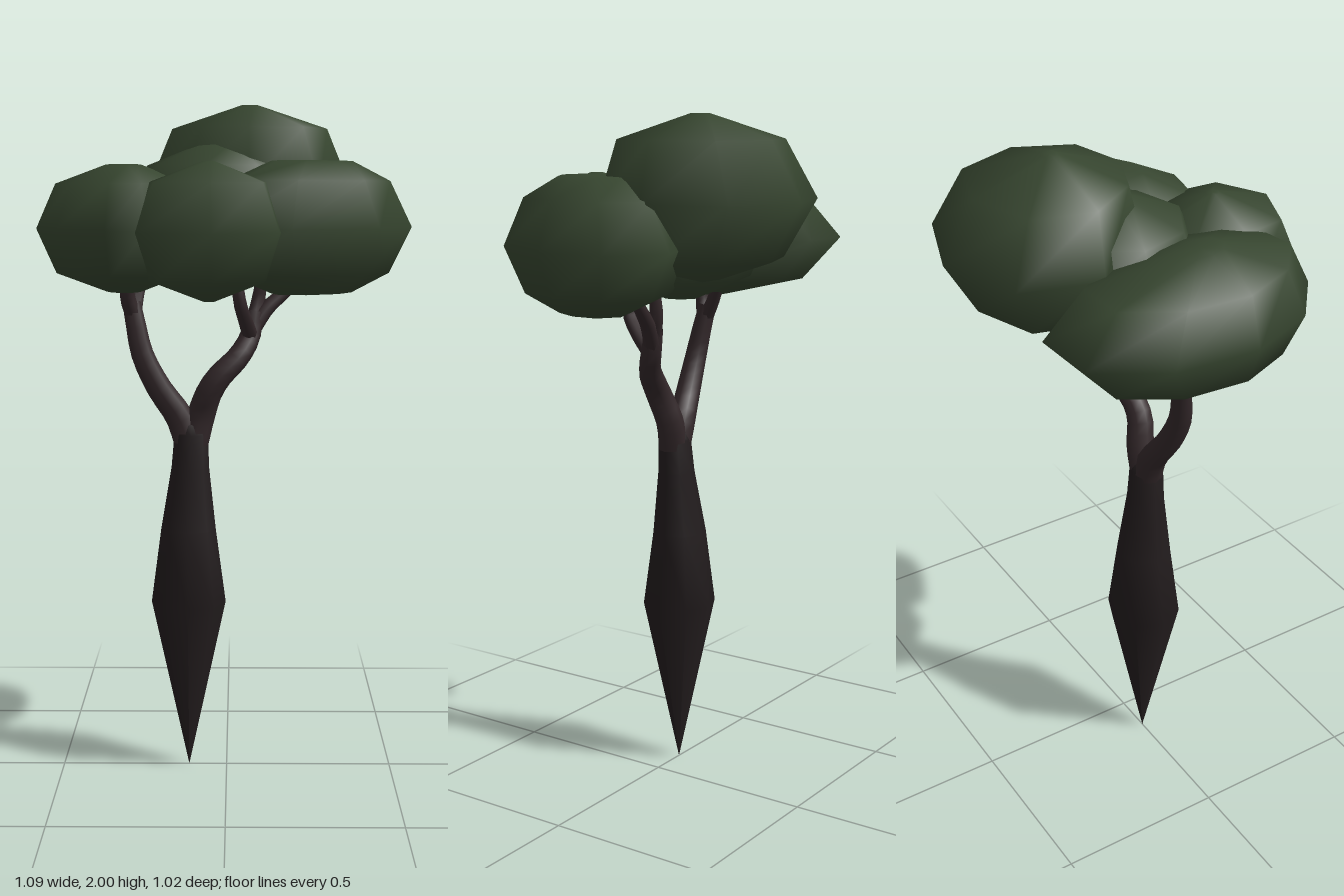
import * as THREE from 'three';
import { mergeVertices } from 'three/addons/utils/BufferGeometryUtils.js';

const bark = new THREE.MeshStandardMaterial({ color: 0x33282a, roughness: 1, side: THREE.DoubleSide });
const trunkBark = new THREE.MeshStandardMaterial({ color: 0x221c1d, roughness: 1, side: THREE.DoubleSide });
const leaves = new THREE.MeshStandardMaterial({ color: 0x36452f, roughness: 1 });

function addMesh(group, name, geometry, material) {
  const mesh = new THREE.Mesh(geometry, material);
  mesh.name = name;
  group.add(mesh);
  return mesh;
}

// Low-poly leaf clump: an [x, z] outline scaled over several levels.
// cap is the size of the flat top and bottom, lean shifts every level but the widest in z
function clumpGeometry({ outline, bottom, top, cap = 0.08, lean = 0 }) {
  const n = outline.length;
  const cx = outline.reduce((s, p) => s + p[0], 0) / n;
  const cz = outline.reduce((s, p) => s + p[1], 0) / n;
  const mid = (top + bottom) / 2, half = (top - bottom) / 2;
  const levels = [[1, 0], [1, cap], [0.7, 0.77], [0, 1], [-0.7, 0.77], [-1, cap], [-1, 0]];
  const last = levels.length - 1;
  const positions = [], index = [];
  levels.forEach(([h, s], r) => {
    outline.forEach(([x, z], i) => {
      positions.push(cx + (x - cx) * s, mid + h * half, cz + (z - cz) * s + (h ? lean : 0));
      const a = r * n + i, b = r * n + (i + 1) % n;
      if (r > 0 && r < last) index.push(a, b, b + n);
      if (r < last - 1) index.push(a, b + n, a + n);
    });
  });
  const geometry = new THREE.BufferGeometry();
  geometry.setAttribute('position', new THREE.Float32BufferAttribute(positions, 3));
  geometry.setIndex(index);
  const merged = mergeVertices(geometry);
  merged.computeVertexNormals();
  return merged;
}

// Branch: a tube whose rings shrink from r0 to r1
function branchGeometry(points, r0, r1) {
  const curve = new THREE.CatmullRomCurve3(points.map(p => new THREE.Vector3(...p)));
  const steps = points.length * 2, sides = 8;
  const geometry = new THREE.TubeGeometry(curve, steps, r0, sides);
  const pos = geometry.attributes.position, v = new THREE.Vector3();
  for (let i = 0; i < pos.count; i++) {
    const t = Math.floor(i / (sides + 1)) / steps;
    v.fromBufferAttribute(pos, i);
    v.lerp(curve.getPointAt(t), t * (1 - r1 / r0));
    pos.setXYZ(i, v.x, v.y, v.z);
  }
  return geometry;
}

export function createModel() {
  const tree = new THREE.Group();
  tree.name = 'tree';

  // Swollen trunk tapering to a point at the ground
  const profile = [[0, 0], [0.112, 0.515], [0.082, 0.74], [0.056, 0.93], [0.05, 1.03], [0.035, 1.06], [0, 1.07]];
  const trunk = addMesh(tree, 'trunk',
    new THREE.LatheGeometry(profile.map(p => new THREE.Vector2(...p)), 8), trunkBark);
  trunk.position.x = -0.115;
  // Slight lean of the upper trunk
  const pos = trunk.geometry.attributes.position;
  for (let i = 0; i < pos.count; i++) {
    const k = Math.max(0, pos.getY(i) - 0.74) / 0.3;
    pos.setX(i, pos.getX(i) + 0.01 * k);
    pos.setZ(i, pos.getZ(i) + 0.013 * k);
  }

  // Two main limbs and their forks: path, start radius, end radius
  const branches = {
    rightHandLimb: [[[-0.11, 1.0, 0.012], [-0.14, 1.08, 0.01], [-0.2, 1.17, 0.025], [-0.248, 1.27, 0.03], [-0.268, 1.36, 0.02], [-0.28, 1.42, 0.01]], 0.045, 0.027],
    leftHandLimb: [[[-0.1, 1.0, 0.012], [-0.075, 1.09, 0.01], [-0.05, 1.16, 0.025], [-0.02, 1.205, 0.025], [0.035, 1.26, 0.005], [0.07, 1.32, -0.025], [0.08, 1.39, -0.04]], 0.045, 0.029],
    rightHandForkOuter: [[[-0.272, 1.38, 0.015], [-0.29, 1.44, 0.035], [-0.285, 1.51, 0.05]], 0.026, 0.018],
    rightHandForkInner: [[[-0.275, 1.38, 0.015], [-0.265, 1.44, -0.02], [-0.25, 1.5, -0.05]], 0.024, 0.017],
    leftHandForkInner: [[[0.07, 1.32, -0.02], [0.055, 1.37, 0.035], [0.04, 1.42, 0.075], [0.03, 1.49, 0.08]], 0.024, 0.017],
    leftHandForkOuter: [[[0.07, 1.33, -0.03], [0.12, 1.4, -0.05], [0.165, 1.44, -0.065], [0.21, 1.48, -0.075]], 0.026, 0.017],
    leftHandForkMiddle: [[[0.08, 1.36, -0.035], [0.095, 1.43, -0.06], [0.11, 1.53, -0.06]], 0.024, 0.015],
  };
  for (const [name, [path, r0, r1]] of Object.entries(branches)) {
    addMesh(tree, name, branchGeometry(path, r0, r1), bark);
  }

  // Foliage clumps, outlined as seen from above
  const clumps = {
    topFoliage: {
      outline: [[0.37, -0.2], [0.27, 0.01], [0.065, 0.07], [-0.12, -0.01], [-0.235, -0.2], [-0.17, -0.43], [0.065, -0.515], [0.3, -0.43]],
      bottom: 1.53, top: 2.0, lean: 0.025,
    },
    rightHandFoliage: {
      outline: [[-0.05, 0.05], [-0.1, 0.27], [-0.21, 0.37], [-0.325, 0.39], [-0.47, 0.27], [-0.55, 0.065], [-0.53, -0.18], [-0.41, -0.375], [-0.22, -0.385], [-0.1, -0.2]],
      bottom: 1.455, top: 1.82, cap: 0.2, lean: 0.02,
    },
    leftHandFoliage: {
      outline: [[0.54, 0.01], [0.43, 0.22], [0.18, 0.37], [-0.03, 0.33], [-0.08, 0.13], [0.1, -0.2], [0.375, -0.3], [0.535, -0.195]],
      bottom: 1.452, top: 1.83, cap: 0.38,
    },
    frontFoliage: {
      outline: [[0.16, 0.25], [0.145, 0.41], [-0.035, 0.51], [-0.235, 0.43], [-0.265, 0.26], [-0.2, 0.09], [-0.05, 0.02], [0.1, 0.08]],
      bottom: 1.44, top: 1.825,
    },
    middleFoliage: {
      outline: [[0.24, -0.02], [0.12, 0.14], [-0.07, 0.2], [-0.25, 0.1], [-0.3, -0.09], [-0.19, -0.27], [0.05, -0.34], [0.22, -0.22]],
      bottom: 1.475, top: 1.88, cap: 0.22,
    },
  };
  for (const [name, clump] of Object.entries(clumps)) {
    addMesh(tree, name, clumpGeometry(clump), leaves);
  }
  return tree;
}
